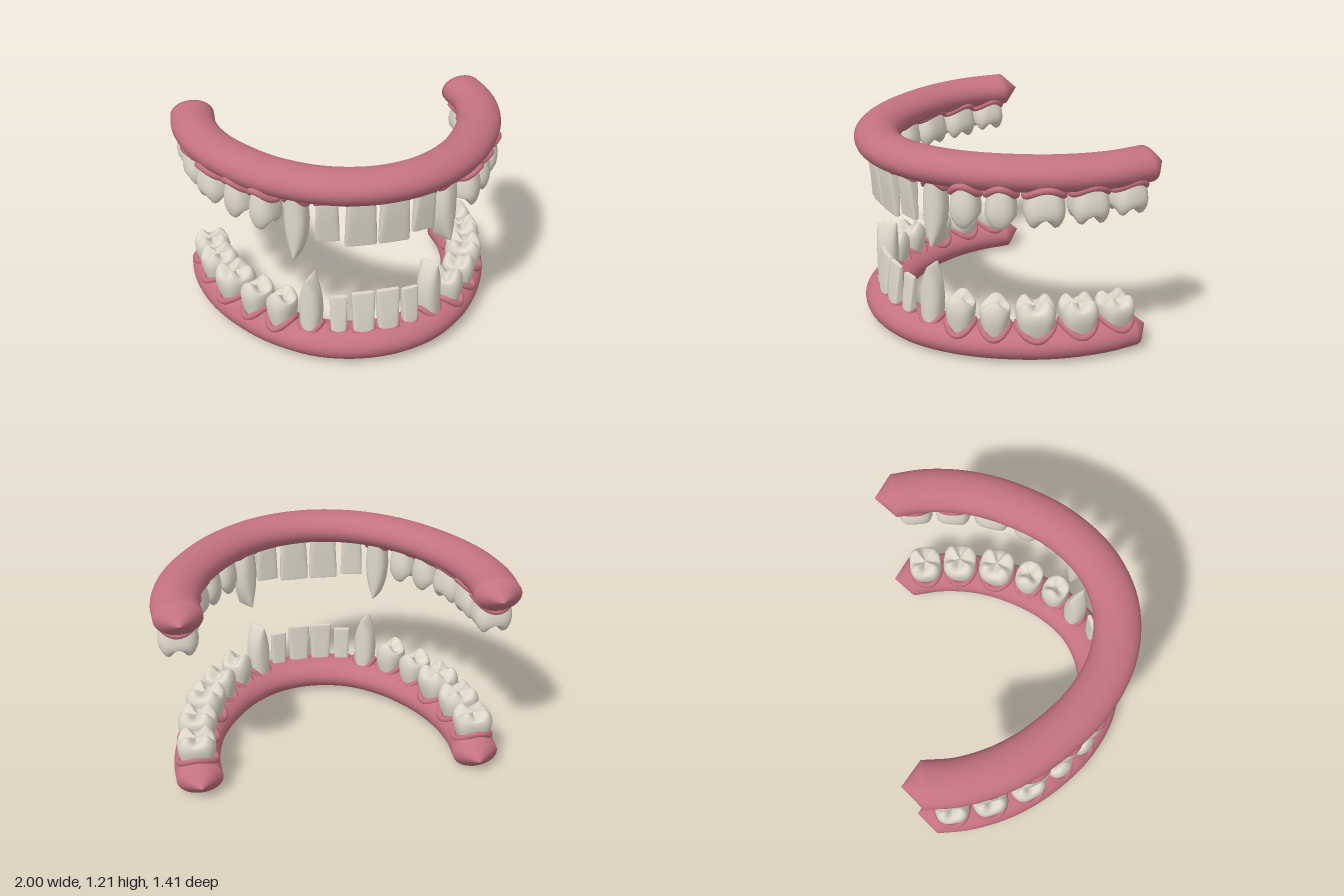
import * as THREE from 'three';

const gumPink = new THREE.MeshStandardMaterial({ color: 0xc47280 });
gumPink.name = 'gum pink';
const ivory = new THREE.MeshStandardMaterial({ color: 0xded8ca });
ivory.name = 'tooth ivory';

// Skin a list of equal-length closed rings of points
function loft(rings) {
  const n = rings[0].length, pos = [], idx = [];
  rings.forEach(r => r.forEach(p => pos.push(p.x, p.y, p.z)));
  for (let i = 0; i < rings.length - 1; i++) {
    for (let j = 0; j < n; j++) {
      const k = (j + 1) % n;
      const a = i * n + j, b = i * n + k, c = b + n, d = a + n;
      idx.push(a, d, b, b, d, c);
    }
  }
  const g = new THREE.BufferGeometry();
  g.setAttribute('position', new THREE.Float32BufferAttribute(pos, 3));
  g.setIndex(idx);
  g.computeVertexNormals();
  return g;
}

// Horseshoe gum: elliptical sweep with pointed back ends
function gumGeometry(half) {
  const left = half.slice(0, -1).map(([x, z]) => [-x, z]);
  const pts = [...left, ...half.slice().reverse()].map(([x, z]) => new THREE.Vector3(x, 0, z));
  const curve = new THREE.CatmullRomCurve3(pts, false, 'centripetal');
  const up = new THREE.Vector3(0, 1, 0), SEG = 96, AROUND = 32;
  const ring = (t, size, push) => {
    const c = curve.getPointAt(t), tan = curve.getTangentAt(t);
    const out = tan.clone().cross(up);
    c.addScaledVector(tan, push);
    return Array.from({ length: AROUND }, (_, j) => {
      const a = j / AROUND * Math.PI * 2;
      return c.clone().addScaledVector(out, Math.cos(a) * 0.132 * size)
        .addScaledVector(up, Math.sin(a) * 0.096 * size);
    });
  };
  const rings = [ring(0, 0.001, -0.11)];
  for (let i = 0; i <= SEG; i++) rings.push(ring(i / SEG, 1, 0));
  rings.push(ring(1, 0.001, 0.11));
  return loft(rings);
}

// Tooth kinds. Rows: height fraction, width scale, depth scale, depth shift, cusp weight
const crown = [
  [0, .72, .72, 0, 0], [.25, .84, .86, 0, 0], [.45, .95, .97, 0, 0], [.62, 1, 1, 0, 0],
  [.76, .98, .96, 0, .1], [.88, .91, .87, 0, .55], [.96, .8, .76, 0, .9], [1, .64, .62, 0, 1],
  [.95, .45, .45, 0, .9], [.87, .24, .24, 0, .5], [.84, .001, .001, 0, 0],
];
const kinds = {
  incisor: {
    power: 5, cusp: () => 1, depth: 0,
    rows: [[0, .86, 1, 0, 0], [.3, .9, .95, 0, 0], [.6, .96, .75, -.004, 0], [.85, 1, .55, -.008, 0],
      [.98, 1, .48, -.01, 0], [1, .97, .42, -.01, 0], [1, .97, .42, -.01, 0], [1, .001, .001, -.01, 0]],
  },
  canine: {
    power: 2.6, cusp: () => 1, depth: 0,
    rows: [[0, .74, .95, 0, 0], [.25, .92, 1, 0, 0], [.45, 1, 1, 0, 0], [.65, .9, 1, 0, 0],
      [.8, .68, .98, 0, 0], [.92, .38, .96, 0, 0], [.98, .18, .95, 0, 0], [1, .06, .93, 0, 0],
      [1, .001, .001, 0, 0]],
  },
  premolar: { power: 2.5, cusp: a => Math.sin(a) ** 2, depth: .06, rows: crown },
  molar: { power: 3, cusp: a => Math.abs(Math.sin(2 * a)), depth: .05, rows: crown },
};

function toothGeometry(kind, hx, hz, height) {
  const { power, cusp, depth, rows } = kinds[kind];
  const bend = v => Math.sign(v) * Math.abs(v) ** (2 / power);
  return loft(rows.map(([y, sx, sz, shift, w]) => Array.from({ length: 32 }, (_, j) => {
    const a = j / 32 * Math.PI * 2;
    return new THREE.Vector3(
      bend(Math.cos(a)) * hx * sx,
      y * height - w * depth * (1 - cusp(a)),
      bend(Math.sin(a)) * hz * sz + shift);
  })));
}

// Saddle-shaped rim of gum around a tooth neck
function collarGeometry(kind, hx, hz) {
  const small = kind === 'incisor';
  const lift = small ? .012 : .03;
  const pts = Array.from({ length: 16 }, (_, j) => {
    const a = j / 16 * Math.PI * 2;
    return new THREE.Vector3(Math.cos(a) * hx * .93, .052 + lift * Math.cos(2 * a), Math.sin(a) * hz * .98);
  });
  return new THREE.TubeGeometry(new THREE.CatmullRomCurve3(pts, true), 40, small ? .012 : .019, 8, true);
}

// Tooth rows: name, kind, x, z, outward turn in degrees, half width, half depth, height
const upperTeeth = [
  ['centralIncisor', 'incisor', .094, .577, 3, .088, .036, .323],
  ['lateralIncisor', 'incisor', .272, .537, 12, .067, .034, .295],
  ['canine', 'canine', .418, .435, 36, .067, .065, .42],
  ['firstPremolar', 'premolar', .57, .33, 50, .083, .092, .27],
  ['secondPremolar', 'premolar', .68, .175, 58, .086, .098, .265],
  ['firstMolar', 'molar', .785, -.025, 68, .112, .112, .25],
  ['secondMolar', 'molar', .845, -.26, 78, .106, .112, .245],
  ['thirdMolar', 'molar', .865, -.487, 88, .102, .11, .225],
];
const lowerTeeth = [
  ['centralIncisor', 'incisor', .072, .552, 2, .067, .032, .295],
  ['lateralIncisor', 'incisor', .21, .522, 10, .05, .03, .27],
  ['canine', 'canine', .35, .435, 36, .067, .065, .38],
  ['firstPremolar', 'premolar', .50, .33, 50, .083, .092, .25],
  ['secondPremolar', 'premolar', .62, .175, 58, .086, .098, .24],
  ['firstMolar', 'molar', .72, -.025, 68, .112, .112, .235],
  ['secondMolar', 'molar', .785, -.26, 78, .106, .112, .225],
  ['thirdMolar', 'molar', .805, -.487, 88, .102, .11, .21],
];

function buildJaw(name, path, gumY, teeth, neckY, flip) {
  const jaw = new THREE.Group();
  jaw.name = name;
  const gum = new THREE.Mesh(gumGeometry(path), gumPink);
  gum.name = 'gum';
  gum.position.y = gumY;
  jaw.add(gum);
  for (const [label, kind, x, z, turn, hx, hz, height] of teeth) {
    const crownGeo = toothGeometry(kind, hx, hz, height);
    const collarGeo = collarGeometry(kind, hx, hz);
    for (const side of [1, -1]) {
      const tooth = new THREE.Group();
      tooth.name = (side > 0 ? 'left ' : 'right ') + label;
      const body = new THREE.Mesh(crownGeo, ivory);
      body.name = 'crown';
      const collar = new THREE.Mesh(collarGeo, gumPink);
      collar.name = 'gumCollar';
      tooth.add(body, collar);
      tooth.position.set(side * x, neckY, z);
      tooth.rotation.set(0, side * THREE.MathUtils.degToRad(turn), flip ? Math.PI : 0);
      jaw.add(tooth);
    }
  }
  return jaw;
}

export function createModel() {
  const model = new THREE.Group();
  model.name = 'dentalArches';
  // Centre lines of the gums, from the left back end to the front middle
  const upperPath = [[.86, -.6], [.868, -.4], [.825, -.17], [.73, .05], [.535, .32], [.28, .505], [0, .568]];
  const lowerPath = [[.8, -.595], [.805, -.4], [.765, -.17], [.675, .05], [.5, .3], [.27, .475], [0, .535]];
  model.add(buildJaw('upperJaw', upperPath, 1.109, upperTeeth, 1.08, true));
  model.add(buildJaw('lowerJaw', lowerPath, .096, lowerTeeth, .13, false));
  return model;
}
